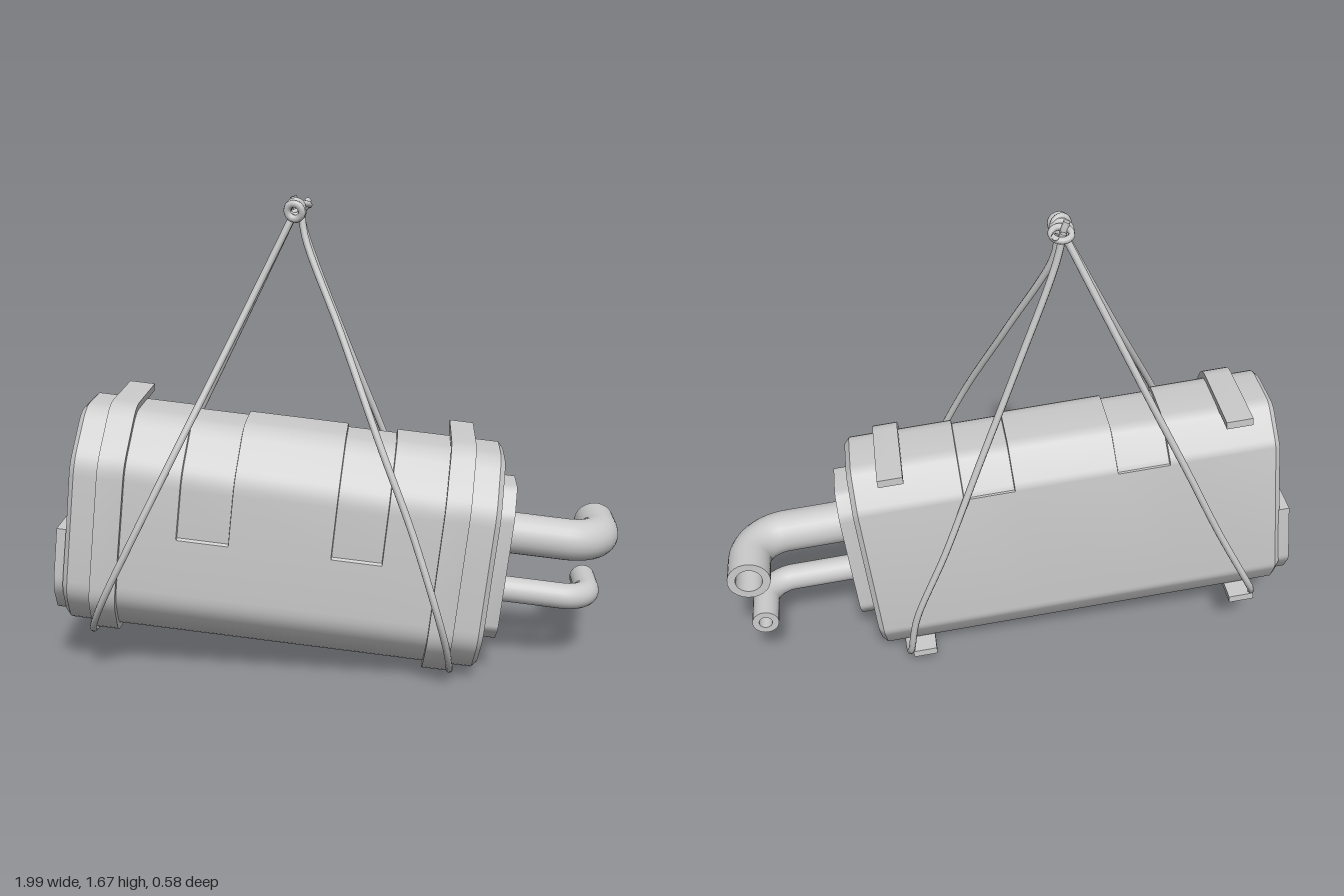
import * as THREE from 'three';
import { toCreasedNormals } from 'three/addons/utils/BufferGeometryUtils.js';

const grey = new THREE.MeshStandardMaterial({ color: 0xcccccc, side: THREE.DoubleSide });
const V3 = (p) => new THREE.Vector3(...p);

function add(parent, name, geometry) {
  const mesh = new THREE.Mesh(geometry, grey);
  mesh.name = name;
  parent.add(mesh);
  return mesh;
}

// Outlines are [u, v, corner radius] with u = -z and v = y; corners are softened
function rounded(pts) {
  const out = [];
  pts.forEach(([u, v, r = 0], i) => {
    const p = new THREE.Vector2(u, v);
    if (!r) return out.push(p);
    const toward = (q) => p.clone().add(new THREE.Vector2(q[0] - u, q[1] - v).setLength(r));
    const a = toward(pts[(i + pts.length - 1) % pts.length]);
    const b = toward(pts[(i + 1) % pts.length]);
    out.push(...new THREE.QuadraticBezierCurve(a, p, b).getPoints(4));
  });
  return out;
}

// Extrude an outline along the body's length, from x0 to x1
function slab(pts, x0, x1) {
  const g = new THREE.ExtrudeGeometry(new THREE.Shape(pts), { depth: x1 - x0, bevelEnabled: false });
  g.translate(0, 0, x0).rotateY(Math.PI / 2);
  return toCreasedNormals(g, 0.5);
}

// Loft the body through rings; each ring is [x, inset all round, inset of the upper front and top]
function loftBody(outline, rings) {
  const n = outline.length, pos = [], index = [];
  const centre = new THREE.Vector2(0.02, 0);
  for (const [x, inset, recess] of rings) {
    for (const p of outline) {
      const d = inset + (p.y > 0 && p.x < 0.243 ? recess : 0);
      const q = p.clone().add(centre.clone().sub(p).setLength(d));
      pos.push(x, q.y, -q.x);
    }
  }
  for (let i = 0; i < rings.length - 1; i++) {
    for (let j = 0; j < n; j++) {
      const k = (j + 1) % n, a = i * n + j, b = i * n + k;
      index.push(a, b, b + n, a, b + n, a + n);
    }
  }
  // end caps
  const last = (rings.length - 1) * n, c0 = pos.length / 3;
  pos.push(rings[0][0], 0, -0.02, rings[rings.length - 1][0], 0, -0.02);
  for (let j = 0; j < n; j++) {
    const k = (j + 1) % n;
    index.push(c0, k, j, c0 + 1, last + j, last + k);
  }
  const g = new THREE.BufferGeometry();
  g.setAttribute('position', new THREE.Float32BufferAttribute(pos, 3));
  g.setIndex(index);
  return toCreasedNormals(g.toNonIndexed(), 0.5);
}

// Hollow pipe that leaves the end plate and turns towards the back
function bentPipe(parent, name, { x, y, z, end, bend, r, bore }) {
  const pipe = new THREE.Group();
  pipe.name = name;
  const path = new THREE.CurvePath();
  path.add(new THREE.LineCurve3(V3([0.74, y, z]), V3([x - bend, y, z])));
  const k = bend * 0.448;
  path.add(new THREE.CubicBezierCurve3(
    V3([x - bend, y, z]), V3([x - k, y, z]), V3([x, y, z - k]), V3([x, y, z - bend])));
  path.add(new THREE.LineCurve3(V3([x, y, z - bend]), V3([x, y, end])));
  add(pipe, 'pipeWall', new THREE.TubeGeometry(path, 40, r, 24));
  add(pipe, 'pipeBore', new THREE.TubeGeometry(path, 40, bore, 24));
  const rim = add(pipe, 'pipeRim', new THREE.RingGeometry(bore, r, 24));
  rim.rotation.y = Math.PI;
  rim.position.set(x, y, end);
  parent.add(pipe);
}

function rope(parent, name, pts, r = 0.012) {
  const curve = new THREE.CatmullRomCurve3(pts.map(V3), false, 'centripetal');
  return add(parent, name, new THREE.TubeGeometry(curve, pts.length * 7, r, 8));
}

export function createModel() {
  const model = new THREE.Group();
  model.name = 'hangingTank';

  // Everything rigid sits in one tilted group
  const tank = new THREE.Group();
  tank.name = 'tank';
  tank.position.set(-0.2, 0.494, 0);
  tank.rotation.z = -0.1115;
  model.add(tank);

  // Body with two shallow recessed panels over the top and front
  const outline = rounded([
    [-0.2, 0.003], [-0.2, -0.003], [-0.2, -0.25, 0.05], [-0.09, -0.39, 0.05],
    [0.175, -0.39, 0.02], [0.245, -0.28, 0.02], [0.245, 0.27, 0.02],
    [0.155, 0.39, 0.03], [-0.06, 0.39, 0.05], [-0.2, 0.23, 0.05],
  ]);
  const rings = [[-0.73, 0.02, 0], [-0.712, 0, 0]];
  for (const [a, b] of [[-0.35, -0.17], [0.18, 0.355]]) {
    rings.push([a, 0, 0], [a + 0.002, 0, 0.012], [b - 0.002, 0, 0.012], [b, 0, 0]);
  }
  rings.push([0.712, 0, 0], [0.73, 0.02, 0]);
  add(tank, 'body', loftBody(outline, rings));

  // End plates
  add(tank, 'rightEndPlate', slab(rounded([
    [-0.1, 0.19, 0.02], [-0.105, -0.22, 0.02], [-0.05, -0.28, 0.02], [0.115, -0.28, 0.02],
    [0.17, -0.21, 0.02], [0.17, 0.21, 0.02], [0.12, 0.28, 0.02], [-0.035, 0.28, 0.02],
  ]), 0.72, 0.785));
  add(tank, 'leftEndPlate', slab(rounded([
    [-0.17, -0.025], [-0.17, -0.24, 0.04], [-0.08, -0.36, 0.04],
    [0.165, -0.36, 0.02], [0.235, -0.26, 0.02], [0.235, -0.025],
  ]), -0.765, -0.72));

  // Mounting bands, open at the back with projecting tabs
  const band = rounded([
    [0.265, 0.413], [-0.07, 0.413, 0.05], [-0.22, 0.24, 0.05], [-0.22, -0.258, 0.05],
    [-0.1, -0.412, 0.05], [0.25, -0.412], [0.25, -0.386], [-0.08, -0.386],
    [-0.19, -0.25], [-0.19, 0.22], [-0.05, 0.386], [0.265, 0.386],
  ]);
  add(tank, 'leftBand', slab(band, -0.63, -0.54));
  add(tank, 'rightBand', slab(band, 0.54, 0.625));

  // Pipes
  bentPipe(tank, 'largePipe', { x: 1.116, y: 0.093, z: -0.035, end: -0.272, bend: 0.13, r: 0.073, bore: 0.046 });
  bentPipe(tank, 'smallPipe', { x: 1.105, y: -0.12, z: -0.037, end: -0.255, bend: 0.1, r: 0.046, bore: 0.023 });

  // Sling ropes: each runs down the front, under the tank and up the back
  rope(model, 'leftRope', [
    [-0.16, 1.6, -0.06], [-0.28, 1.36, -0.02], [-0.4, 1.12, 0.06], [-0.55, 0.82, 0.195],
    [-0.68, 0.56, 0.255], [-0.8, 0.32, 0.235], [-0.865, 0.175, 0.13], [-0.872, 0.145, 0.06],
    [-0.872, 0.145, -0.17], [-0.85, 0.22, -0.265], [-0.7, 0.51, -0.277], [-0.57, 0.78, -0.265],
    [-0.45, 1.02, -0.235], [-0.3, 1.32, -0.16], [-0.16, 1.6, -0.08],
  ]);
  rope(model, 'rightRope', [
    [-0.14, 1.62, -0.12], [-0.125, 1.52, -0.1], [0, 1.22, 0.015], [0.14, 0.87, 0.17],
    [0.25, 0.59, 0.235], [0.34, 0.31, 0.272], [0.375, 0.16, 0.22], [0.39, 0.04, 0.115],
    [0.39, 0.012, 0.04], [0.39, 0.012, -0.2], [0.385, 0.05, -0.25], [0.36, 0.23, -0.28],
    [0.25, 0.52, -0.277], [0.13, 0.84, -0.235], [0.01, 1.15, -0.19], [-0.125, 1.52, -0.15],
    [-0.15, 1.63, -0.145],
  ]);

  // Knot: stacked coils, a crossing turn and loose tails
  const knot = new THREE.Group();
  knot.name = 'knot';
  model.add(knot);
  for (let i = 0; i < 3; i++) {
    const coil = add(knot, 'knotCoil', new THREE.TorusGeometry(0.026, 0.013, 8, 20));
    coil.position.set(-0.155, 1.612 + (i % 2) * 0.006, -0.04 - i * 0.023);
    coil.rotation.set(0.2, i % 2 ? 0.35 : -0.25, 0);
  }
  const turn = add(knot, 'knotTurn', new THREE.TorusGeometry(0.032, 0.011, 8, 20));
  turn.position.set(-0.145, 1.625, -0.135);
  turn.rotation.x = 1.3;
  rope(knot, 'knotTail', [[-0.17, 1.6, -0.07], [-0.13, 1.615, -0.12], [-0.12, 1.635, -0.175]]);
  rope(knot, 'knotTail', [[-0.15, 1.57, -0.1], [-0.155, 1.62, -0.115], [-0.165, 1.655, -0.115]]);
  return model;
}
